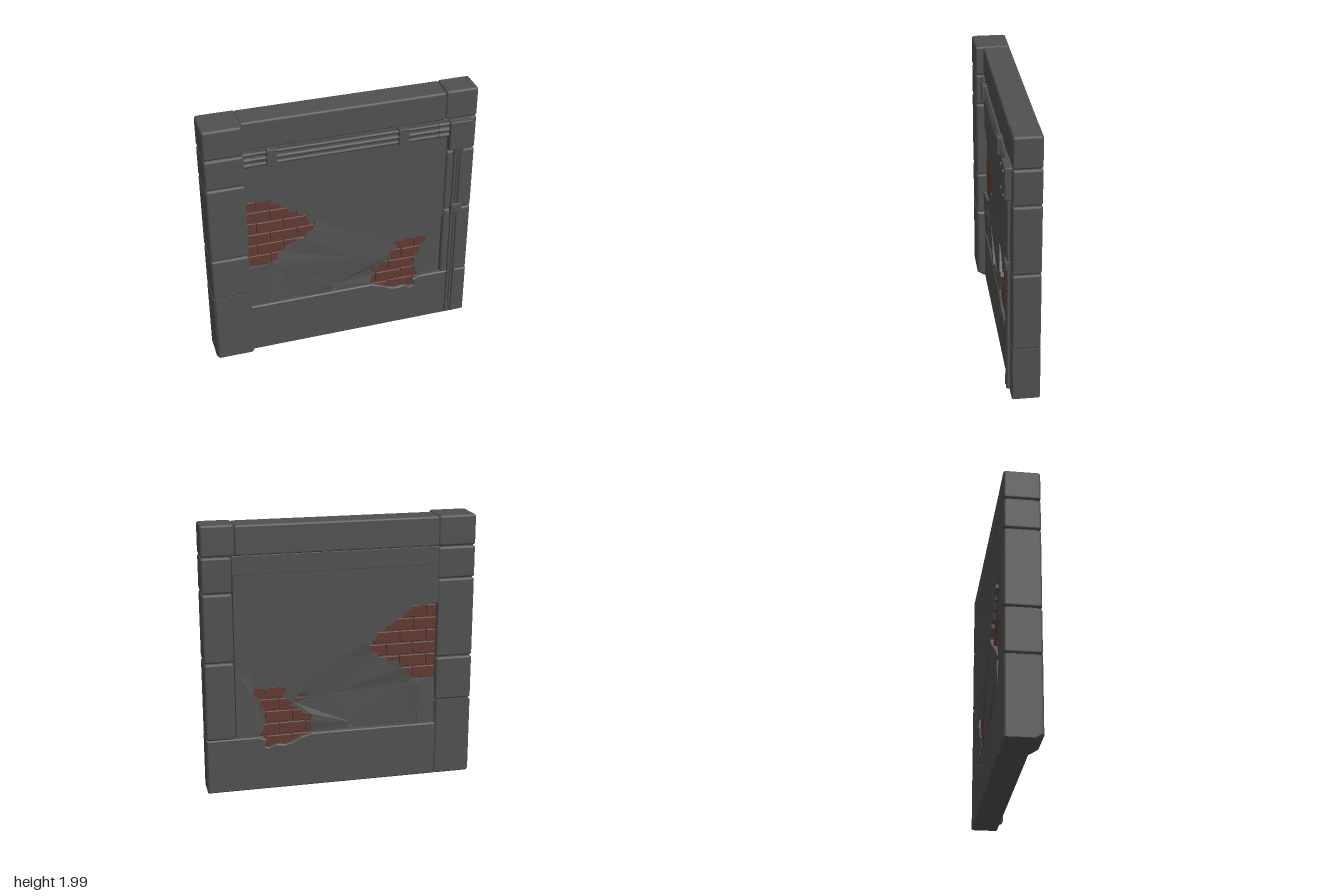
import * as THREE from 'three';
import { RoundedBoxGeometry } from 'three/addons/geometries/RoundedBoxGeometry.js';

export function createModel() {
  const root = new THREE.Group();
  root.name = 'damagedWallPanel';
  const mat = (name, color) => {
    const m = new THREE.MeshStandardMaterial({ color });
    m.name = name;
    return m;
  };
  const stone = mat('darkGrey', 0x515151);
  const brickRed = mat('brickBrown', 0x613a31);

  const add = (name, geo, material = stone, parent = root) => {
    const mesh = new THREE.Mesh(geo, material);
    mesh.name = name;
    parent.add(mesh);
    return mesh;
  };
  const group = (name) => {
    const g = new THREE.Group();
    g.name = name;
    root.add(g);
    return g;
  };
  // Rounded block given by its limits on each axis
  const block = (name, [x0, x1], [y0, y1], [z0, z1], r = 0.014, material = stone, parent = root) => {
    const geo = new RoundedBoxGeometry(x1 - x0, y1 - y0, z1 - z0, 2, r);
    geo.translate((x0 + x1) / 2, (y0 + y1) / 2, (z0 + z1) / 2);
    return add(name, geo, material, parent);
  };
  // Plate cut to an outline, with a small chamfer
  const slab = (name, pts, z0, z1, bevel = 0, parent = root) => {
    const geo = new THREE.ExtrudeGeometry(new THREE.Shape(pts.map(([x, y]) => new THREE.Vector2(x, y))), {
      depth: z1 - z0 - 2 * bevel, bevelEnabled: bevel > 0,
      bevelSize: bevel, bevelThickness: bevel, bevelOffset: -bevel, bevelSegments: 1,
    });
    geo.translate(0, 0, z0 + bevel);
    return add(name, geo, stone, parent);
  };
  const rod = (name, a, b, r, parent) => {
    const from = new THREE.Vector3(...a), to = new THREE.Vector3(...b);
    const mesh = add(name, new THREE.CylinderGeometry(r, r, from.distanceTo(to), 10), stone, parent);
    mesh.position.copy(from).lerp(to, 0.5);
    mesh.quaternion.setFromUnitVectors(new THREE.Vector3(0, 1, 0), to.sub(from).normalize());
    return mesh;
  };

  // Thick pillar of stacked blocks around a solid core; the foot is chamfered in front
  const pillar = group('thickPillar');
  block('pillarCore', [-0.985, -0.735], [0.1, 1.97], [-0.115, 0.108], 0.01, stone, pillar);
  slab('pillarFoot', [[-0.13, 0.012], [-0.115, 0], [0.075, 0], [0.13, 0.035], [0.13, 0.592], [-0.13, 0.592]],
    0.72, 1, 0.014, pillar).geometry.rotateY(-Math.PI / 2);
  [[0.594, 0.927], [0.932, 1.525], [1.529, 1.763], [1.768, 1.992]].forEach((y) =>
    block('pillarBlock', [-1, -0.72], y, [-0.13, 0.13], 0.018, stone, pillar));

  // Slim pillar, top beam and corner
  const slim = [-0.13, 0.07];
  [[0.412, 0.994], [0.998, 1.502], [1.506, 1.765]].forEach((y) => block('slimPillarBlock', [0.785, 1], y, slim, 0.018));
  block('slimPillarCore', [0.8, 0.985], [0.3, 1.9], [-0.11, 0.05], 0.01);
  block('topBeam', [-0.725, 0.762], [1.768, 1.988], slim, 0.016);
  block('topCorner', [0.76, 1], [1.768, 1.994], slim, 0.018);

  // Bottom beam with a broken bite
  slab('bottomBeam', [[-0.725, 0.003], [1, 0.003], [1, 0.413], [0.62, 0.413], [0.56, 0.39], [0.57, 0.335], [0.54, 0.325],
    [0.49, 0.35], [0.42, 0.34], [0.37, 0.355], [0.3, 0.39], [0.22, 0.413], [-0.725, 0.413]], ...slim, 0.008);

  // Strip behind the pipes
  block('pipeStrip', [-0.725, 0.785], [1.633, 1.772], [-0.125, 0.062], 0.005);

  // Plaster: sound upper sheet above the two breaks
  const zBack = -0.125, zFront = 0.066;
  const leftBreakTop = [[-0.2, 1.07], [-0.215, 1.095], [-0.24, 1.09], [-0.27, 1.125], [-0.275, 1.16], [-0.3, 1.155], [-0.33, 1.165],
    [-0.35, 1.21], [-0.37, 1.2], [-0.4, 1.215], [-0.42, 1.255], [-0.46, 1.255], [-0.47, 1.285], [-0.51, 1.3], [-0.54, 1.31],
    [-0.52, 1.35], [-0.56, 1.34], [-0.6, 1.33], [-0.64, 1.335], [-0.68, 1.36], [-0.7, 1.34], [-0.725, 1.35]];
  const plaster = group('plaster');
  slab('upperPlaster', [[-0.725, 1.634], [0.78, 1.634], [0.78, 0.94], [0.7, 0.91], [0.67, 0.87], [0.66, 0.85], [0.65, 0.79], [0.6, 0.795],
    [0.56, 0.775], [0.5, 0.795], [0.45, 0.78], [0.42, 0.785], [0.15, 0.915], [-0.15, 1.08], ...leftBreakTop].reverse(),
  zBack, zFront, 0, plaster);

  // Crumpled lower sheets: [outline, tilt along x, tilt along y]
  const leftBreakBottom = [[-0.5, 0.74], [-0.53, 0.79], [-0.5, 0.8], [-0.5, 0.84], [-0.46, 0.86], [-0.43, 0.91], [-0.37, 0.92],
    [-0.34, 0.95], [-0.29, 0.95], [-0.27, 0.99], [-0.23, 1.01], [-0.2, 1.07]];
  const sheets = [
    [[...leftBreakBottom, [-0.15, 1.08], [0.02, 0.93], [0.2, 0.87], [0.36, 0.66], [0.1, 0.7]], 0.01, -0.04],
    [[[-0.15, 1.08], [0.15, 0.915], [0.42, 0.785], [0.41, 0.75], [0.44, 0.72], [0.36, 0.66], [0.2, 0.87], [0.02, 0.93]], 0, 0.04],
    [[[-0.5, 0.74], [0.1, 0.7], [0.36, 0.66], [0.38, 0.63], [0.3, 0.6], [0.29, 0.57], [0.22, 0.56], [0.24, 0.5], [-0.04, 0.47], [-0.07, 0.475]], 0.02, 0.05],
    [[[-0.6, 0.72], [-0.5, 0.74], [-0.2, 0.57], [-0.07, 0.475], [-0.1, 0.422], [-0.36, 0.427], [-0.58, 0.422]], 0.03, -0.04],
    [[[-0.725, 0.78], [-0.65, 0.775], [-0.58, 0.765], [-0.53, 0.79], [-0.5, 0.74], [-0.6, 0.72], [-0.58, 0.422], [-0.725, 0.422]], -0.12, 0.03],
    [[[-0.05, 0.422], [-0.07, 0.475], [-0.04, 0.47], [0.24, 0.5], [0.22, 0.422]], 0, -0.1],
    [[[0.66, 0.85], [0.7, 0.91], [0.78, 0.94], [0.78, 0.42], [0.62, 0.42], [0.58, 0.46], [0.575, 0.5], [0.56, 0.54], [0.58, 0.57],
      [0.56, 0.6], [0.61, 0.64], [0.6, 0.7], [0.65, 0.72], [0.65, 0.79]], -0.08, 0.02],
  ];
  sheets.forEach(([pts, tx, ty]) => {
    const loop = THREE.ShapeUtils.isClockWise(pts.map(([x, y]) => ({ x, y }))) ? [...pts].reverse() : pts;
    const geo = slab('crumpledPlaster', loop, zBack + 0.008, zFront - 0.008, 0, plaster).geometry;
    const cx = pts.reduce((s, p) => s + p[0], 0) / pts.length;
    const cy = pts.reduce((s, p) => s + p[1], 0) / pts.length;
    const pos = geo.attributes.position;
    for (let i = 0; i < pos.count; i++) {
      const x = pos.getX(i), y = pos.getY(i);
      pos.setZ(i, pos.getZ(i) + tx * (x - cx) + ty * (y - cy) + 0.006 * Math.sin(9 * x + 17 * y));
    }
    geo.computeVertexNormals();
  });

  // Brick fields in the breaks, with mortar between the bricks
  const bricks = group('brickwork');
  const brickField = (x0, x1, y0, rows, shift) => {
    const h = 0.094, w = 0.2, gap = 0.005;
    block('mortar', [x0, x1], [y0, y0 + rows * h], [-0.09, 0.038], 0.003, stone, bricks);
    for (let r = 0; r < rows; r++) {
      for (let x = x0 - shift - (r % 2) * w / 2; x < x1; x += w) {
        const a = Math.max(x, x0) + gap / 2, b = Math.min(x + w, x1) - gap / 2;
        const push = 0.004 * Math.sin(r * 5 + x * 13);
        if (b - a > 0.03) {
          block('brick', [a, b], [y0 + r * h + gap / 2, y0 + (r + 1) * h - gap / 2], [-0.102 + push, 0.05 + push], 0.008, brickRed, bricks);
        }
      }
    }
  };
  brickField(-0.725, -0.21, 0.772, 6, 0.02);
  block('breakLintel', [-0.725, -0.5], [1.32, 1.38], [-0.09, 0.038], 0.004, stone, bricks);
  brickField(0.225, 0.655, 0.32, 5, 0.06);

  // Horizontal pipes with end fittings and brackets
  const pipes = group('pipes');
  [[1.742, 0.012], [1.698, 0.016], [1.655, 0.013]].forEach(([y, r]) => {
    rod('horizontalPipe', [-0.722, y, 0.077], [0.79, y, 0.077], r, pipes);
    [[-0.722, -0.665], [0.71, 0.79]].forEach(([a, b]) => rod('pipeFitting', [a, y, 0.077], [b, y, 0.077], r + 0.005, pipes));
  });
  [-0.52, 0.44].forEach((x) => block('pipeBracket', [x - 0.037, x + 0.037], [1.638, 1.768], [0.055, 0.107], 0.006, stone, pipes));

  // Junction box with four bolts
  block('junctionBox', [0.785, 0.957], [1.535, 1.766], [0.06, 0.117], 0.008, stone, pipes);
  [0.812, 0.93].forEach((x) => [1.565, 1.735].forEach((y) => rod('bolt', [x, y, 0.11], [x, y, 0.128], 0.011, pipes)));

  // Vertical pipes with fittings and a clamp
  [[0.845, 0.012, 0.03], [0.869, 0.008, 0.11], [0.893, 0.012, 0.03]].forEach(([x, r, y0]) => {
    rod('verticalPipe', [x, y0, 0.082], [x, 1.54, 0.082], r, pipes);
    [[y0, y0 + 0.08], [1.45, 1.54]].forEach(([a, b]) => rod('pipeFitting', [x, a, 0.082], [x, b, 0.082], r + 0.003, pipes));
  });
  block('pipeClamp', [0.831, 0.912], [0.985, 1.055], [0.06, 0.107], 0.006, stone, pipes);

  return root;
}
